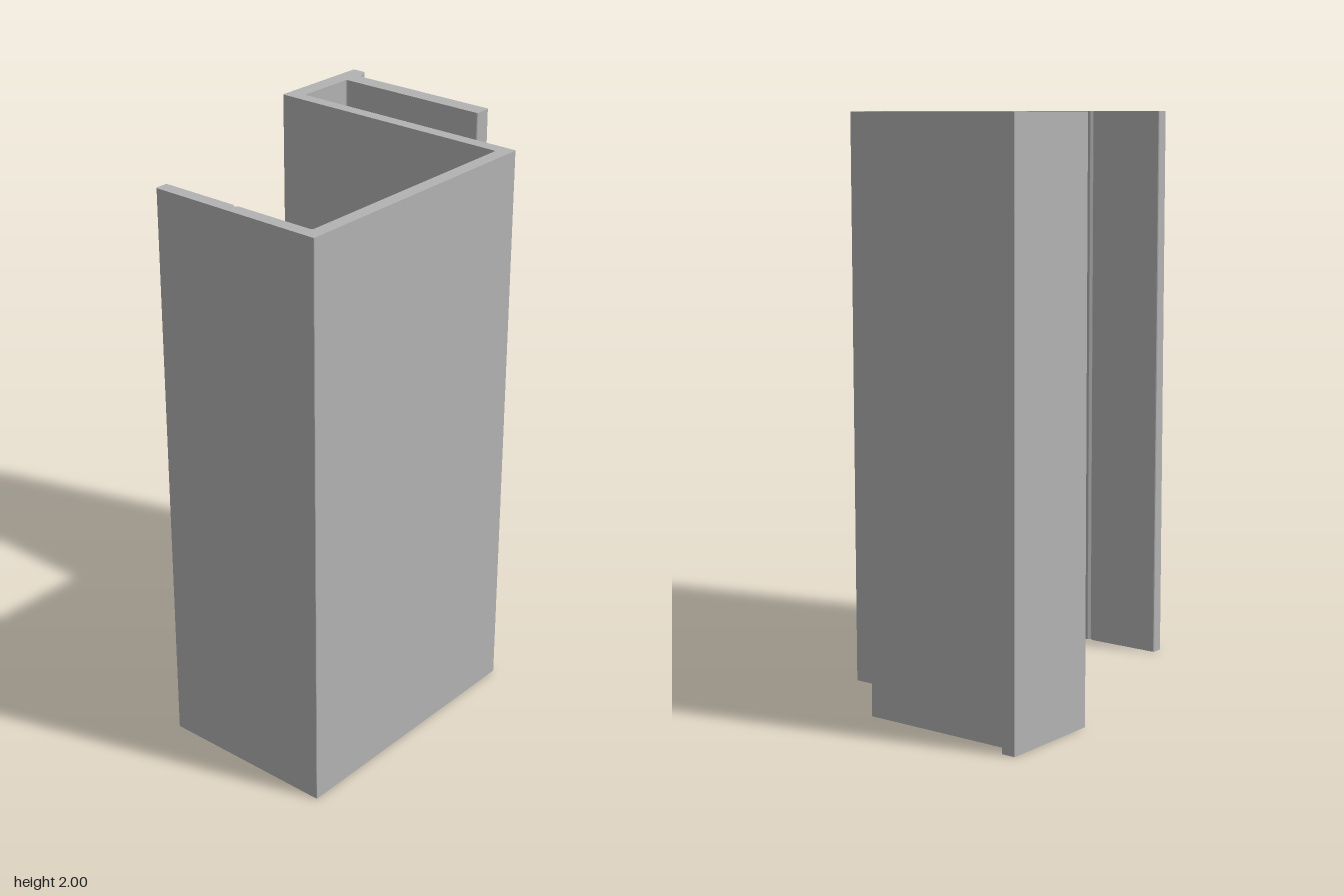
import * as THREE from 'three';

// Profile corners in plan: x, z, corner radius
const PROFILE = [
  [-0.667, 0.478, 0.004], [0.325, 0.478, 0.004],      // front web, outer face
  [0.325, -0.421, 0.008], [0.55, -0.421, 0.008],      // inside of the hook channel
  [0.55, 0.157, 0.007], [0.613, 0.157, 0.007],        // free end of the hook lip
  [0.613, -0.409, 0.005], [0.664, -0.431, 0.004],     // sloped underside of the nib
  [0.664, -0.482, 0.004], [0.279, -0.482, 0.004],     // back face
  [0.279, 0.431, 0.008], [-0.62, 0.431, 0.008],       // inside of the main channel
  [-0.62, 0.142, 0.003], [-0.63, 0.131, 0.003], [-0.62, 0.12, 0.003], // score groove
  [-0.62, -0.161, 0.007], [-0.667, -0.161, 0.007],    // free end of the side flange
];

// Closed outline with a small round at each corner
function roundedShape(corners) {
  const shape = new THREE.Shape();
  const pts = corners.map(([x, z]) => new THREE.Vector2(x, -z));
  const n = pts.length;
  pts.forEach((p, i) => {
    const r = corners[i][2];
    const toward = (q) => q.clone().sub(p).setLength(r).add(p);
    const a = toward(pts[(i + n - 1) % n]);
    const b = toward(pts[(i + 1) % n]);
    if (i === 0) shape.moveTo(a.x, a.y);
    else shape.lineTo(a.x, a.y);
    shape.quadraticCurveTo(p.x, p.y, b.x, b.y);
  });
  shape.closePath();
  return shape;
}

export function createModel() {
  const group = new THREE.Group();
  group.name = 'trimProfile';

  const grey = new THREE.MeshStandardMaterial({ color: 0xb3b3b3 });
  grey.name = 'grey';

  // Constant section extruded upward
  const geometry = new THREE.ExtrudeGeometry(roundedShape(PROFILE), {
    depth: 2, bevelEnabled: false, curveSegments: 4,
  });
  geometry.rotateX(-Math.PI / 2);

  const profile = new THREE.Mesh(geometry, grey);
  profile.name = 'extrudedProfile';
  group.add(profile);
  return group;
}
